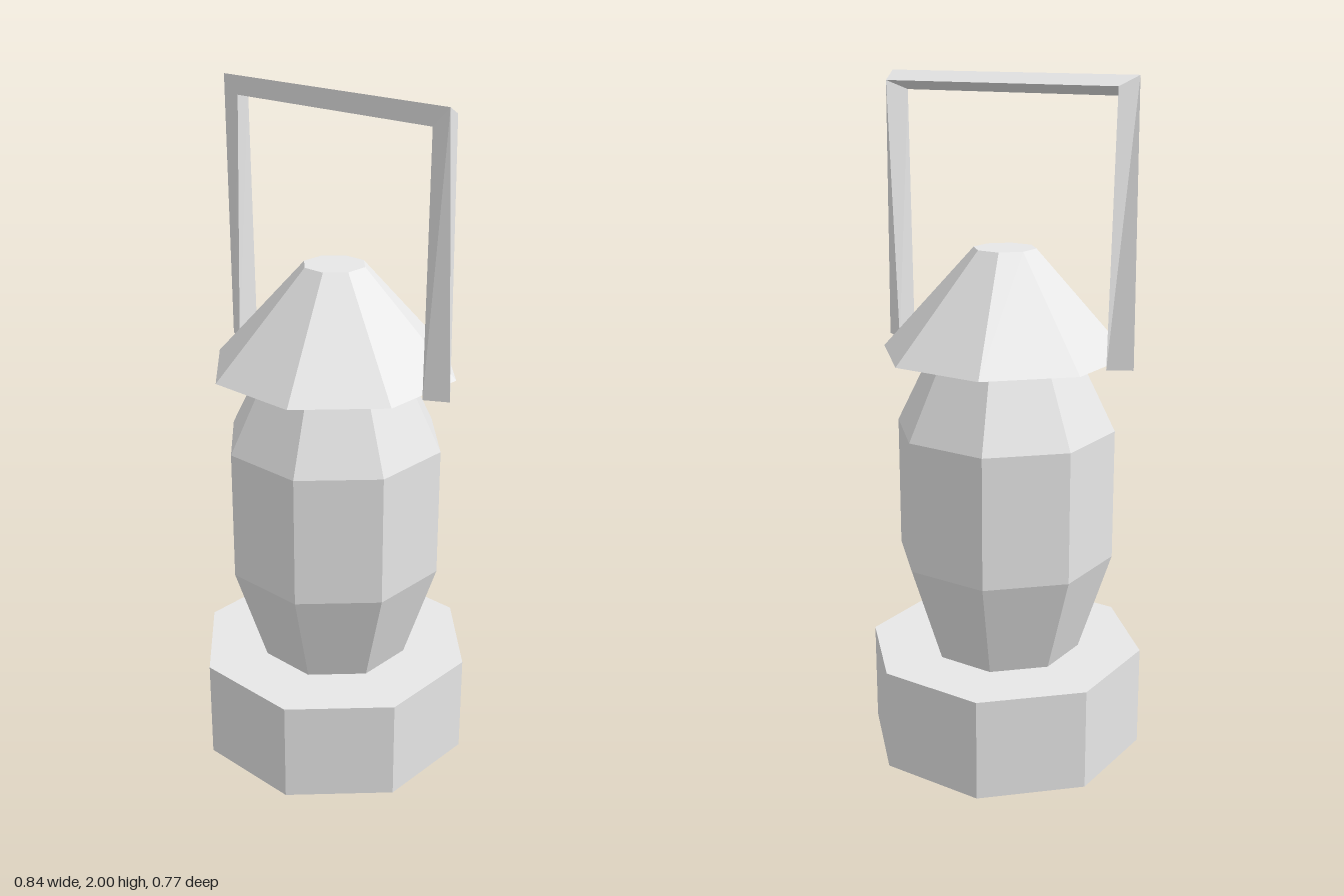
import * as THREE from 'three';

const grey = new THREE.MeshStandardMaterial({ color: 0xe7e7e7, flatShading: true });
grey.name = 'light grey';

// Eight-sided section with flat sides facing the axes; sizes are centre-to-flat.
function octagon(name, bottom, top, y0, y1, open = false) {
  const k = 1 / Math.cos(Math.PI / 8);
  const geo = new THREE.CylinderGeometry(top * k, bottom * k, y1 - y0, 8, 1, open, Math.PI / 8);
  geo.translate(0, (y0 + y1) / 2, 0);
  const mesh = new THREE.Mesh(geo, grey);
  mesh.name = name;
  return mesh;
}

// Skins triangular rings into a closed bar with capped ends.
function loftTriangles(rings) {
  const pos = [];
  const tri = (...points) => points.forEach((p) => pos.push(...p));
  for (let i = 0; i < rings.length - 1; i++) {
    const a = rings[i], b = rings[i + 1];
    for (let j = 0; j < 3; j++) {
      const k = (j + 1) % 3;
      tri(a[j], a[k], b[j]);
      tri(a[k], b[k], b[j]);
    }
  }
  const first = rings[0], last = rings[rings.length - 1];
  tri(first[0], first[2], first[1]);
  tri(last[0], last[1], last[2]);
  const geo = new THREE.BufferGeometry();
  geo.setAttribute('position', new THREE.Float32BufferAttribute(pos, 3));
  geo.computeVertexNormals();
  return geo;
}

export function createModel() {
  const model = new THREE.Group();
  model.name = 'lantern';

  model.add(octagon('base', 0.385, 0.385, 0, 0.305));

  // Bulging lamp body
  const body = new THREE.Group();
  body.name = 'body';
  body.add(
    octagon('lowerBody', 0.21, 0.3, 0.305, 0.605, true),
    octagon('middleBody', 0.3, 0.3, 0.605, 0.995, true),
    octagon('upperBody', 0.3, 0.198, 0.995, 1.22, true),
  );
  model.add(body);

  model.add(octagon('roof', 0.335, 0.084, 1.22, 1.52));

  // Three-sided handle: mitred corners, legs twisting down to their feet
  const corner = (s) => [[s * 0.406, 2, 0.021], [s * 0.379, 1.973, -0.045], [s * 0.352, 1.946, 0.021]];
  const foot = (s) => [[s * 0.357, 1.22, 0.037], [s * 0.422, 1.22, 0], [s * 0.357, 1.22, -0.037]];
  const [q, p, r] = foot(-1);
  const handle = new THREE.Mesh(loftTriangles([foot(1), corner(1), corner(-1), [r, q, p]]), grey);
  handle.name = 'handle';
  model.add(handle);

  return model;
}
